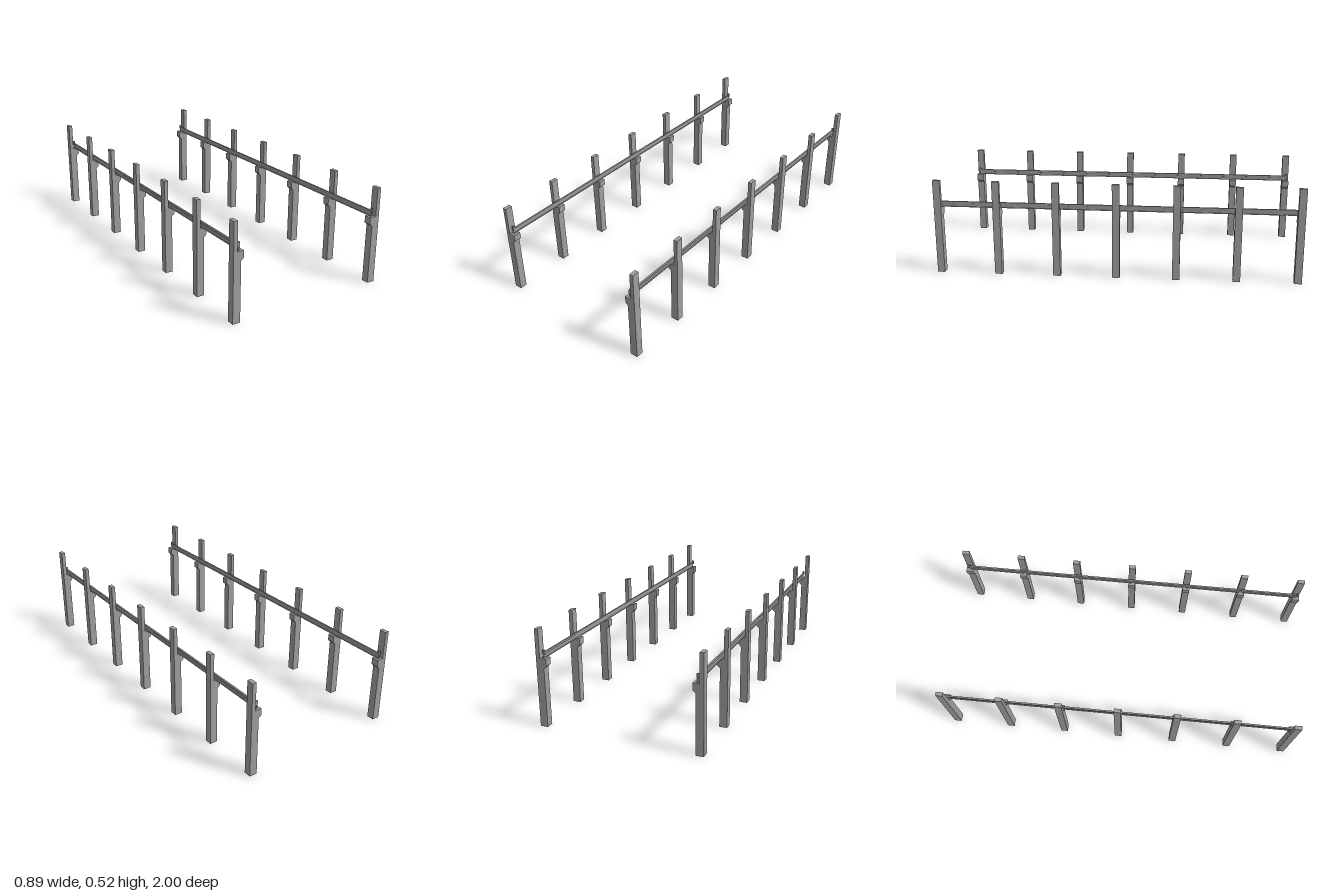
import * as THREE from 'three';

const concrete = new THREE.MeshStandardMaterial({ color: 0x9e9e9e, flatShading: true, side: THREE.DoubleSide });
const steel = new THREE.MeshStandardMaterial({ color: 0x949a9e, flatShading: true });

// Extrudes a closed x/y outline along z, centred on z = 0
function extrudeZ(points, depth) {
  const shape = new THREE.Shape(points.map(([x, y]) => new THREE.Vector2(x, y)));
  return new THREE.ExtrudeGeometry(shape, { depth, bevelEnabled: false }).translate(0, 0, -depth / 2);
}

// Leaves the underside open by dropping the triangles that lie on y = 0
function openBottom(geometry) {
  const p = geometry.attributes.position;
  const kept = [];
  for (let i = 0; i < p.count; i += 3) {
    if (Math.max(p.getY(i), p.getY(i + 1), p.getY(i + 2)) > 1e-5) kept.push(i, i + 1, i + 2);
  }
  geometry.clearGroups();
  geometry.setIndex(kept);
  return geometry.toNonIndexed();
}

function addPart(parent, name, geometry, material, x = 0, y = 0, z = 0) {
  const mesh = new THREE.Mesh(geometry, material);
  mesh.name = name;
  mesh.position.set(x, y, z);
  parent.add(mesh);
}

// Column with a narrow upper shaft and a chamfered inner corbel
const columnOutline = [
  [0.403, 0], [0.445, 0], [0.445, 0.523], [0.4235, 0.523], [0.4235, 0.37],
  [0.388, 0.37], [0.388, 0.333], [0.403, 0.32],
];

// Rail section: thin foot, thin web, deep head
const railOutline = [
  [-0.006, 0], [0.006, 0], [0.006, 0.002], [0.001, 0.0025], [0.001, 0.019],
  [0.0045, 0.02], [0.0045, 0.031], [-0.0045, 0.031], [-0.0045, 0.02],
  [-0.001, 0.019], [-0.001, 0.0025], [-0.006, 0.002],
];

export function createModel() {
  const model = new THREE.Group();
  model.name = 'craneRunway';

  const railGeometry = extrudeZ(railOutline, 1.976);
  const stopGeometry = new THREE.BoxGeometry(0.011, 0.024, 0.009);

  for (const side of [1, -1]) {
    const row = new THREE.Group();
    row.name = side > 0 ? 'leftRow' : 'rightRow';
    model.add(row);

    // Seven evenly spaced columns
    const outline = columnOutline.map(([x, y]) => [side * x, y]);
    const columnGeometry = openBottom(extrudeZ(outline, 0.04));
    for (let i = -3; i <= 3; i++) {
      addPart(row, 'column', columnGeometry, concrete, 0, 0, i * 0.98 / 3);
    }

    // Rail on the corbels, with a stop block at each end
    const railX = side * 0.408;
    addPart(row, 'rail', railGeometry, steel, railX, 0.37);
    for (const end of [1, -1]) {
      addPart(row, 'endStop', stopGeometry, steel, railX, 0.4, end * 0.984);
    }
  }
  return model;
}
